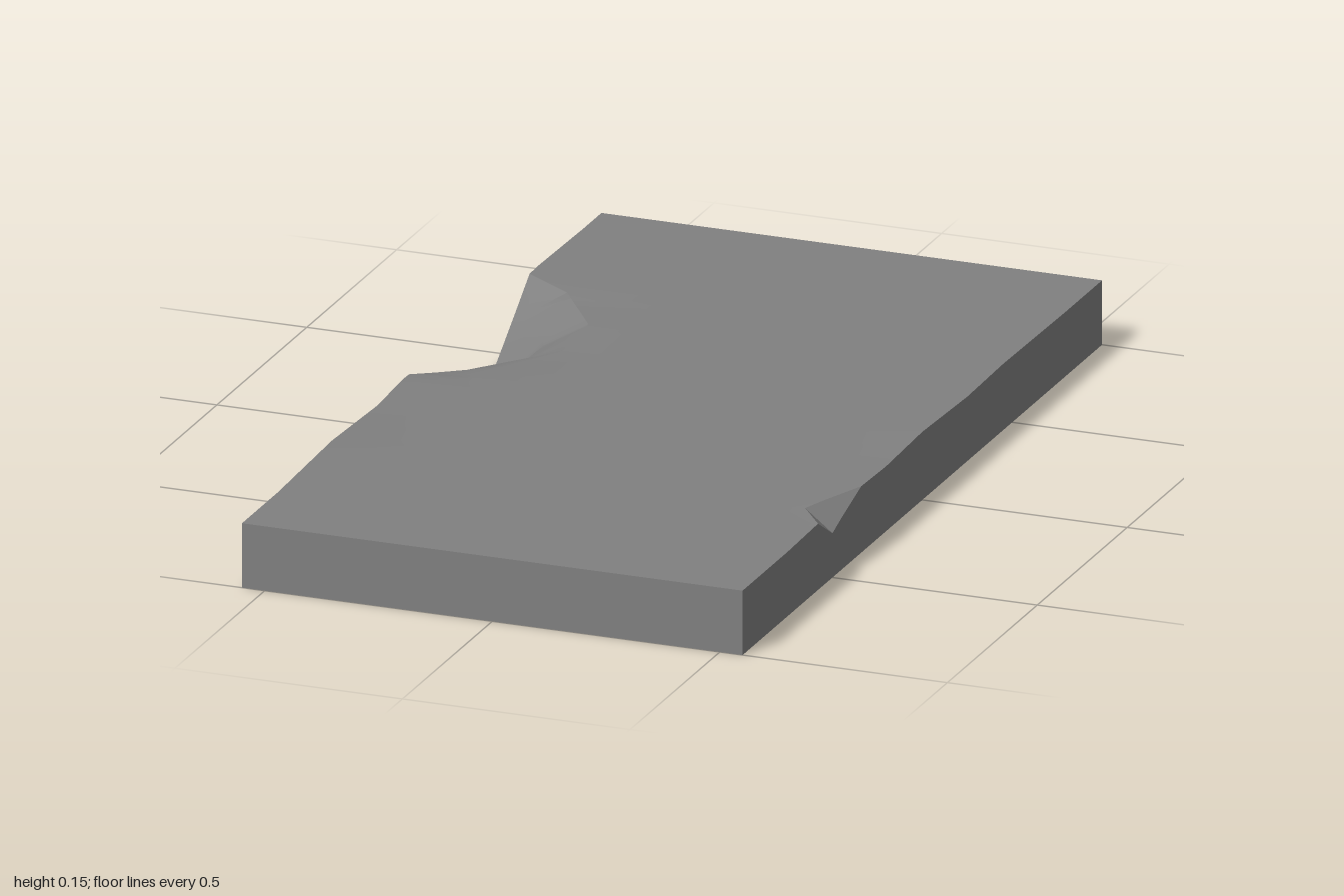
import * as THREE from 'three';
import { toCreasedNormals } from 'three/addons/utils/BufferGeometryUtils.js';

const W = 0.55, TOP = 0.14;

// Piecewise-linear curve through [z, value] points, ascending in z
const line = (pts) => (z) => {
  if (z <= pts[0][0]) return pts[0][1];
  for (let i = 1; i < pts.length; i++) {
    const [z0, v0] = pts[i - 1], [z1, v1] = pts[i];
    if (z <= z1) return v0 + ((v1 - v0) * (z - z0)) / (z1 - z0);
  }
  return pts[pts.length - 1][1];
};

// Large broken notch on the right edge: rim, ledge and foot outlines
const rimX = line([[-0.6, -W], [-0.53, -0.44], [-0.37, -0.33], [-0.2, -0.32], [0.02, -0.45], [0.07, -W]]);
const ledgeX = line([[-0.6, -W], [-0.35, -0.42], [-0.21, -0.42], [0.07, -W]]);
const ledgeH = line([[-0.6, 1], [-0.5, 0.76], [-0.35, 0.64], [-0.21, 0.64], [0.07, 1]]);
const footX = line([[-0.4, -W], [-0.31, -0.48], [-0.25, -0.465], [-0.07, -0.53], [0.04, -W]]);
const lipH = line([[-0.6, 1], [-0.4, 0], [0.04, 0], [0.07, 1]]);

// Small chip on the left edge
const chipX = line([[0.34, W], [0.5, 0.49], [0.58, W]]);
const chipH = line([[0.34, 1], [0.5, 0.66], [0.58, 1]]);

// Slight worn waviness along both long edges
const waveR = line([[-0.9, 0], [-0.65, 0.004], [-0.4, -0.003], [0.1, 0.011], [0.25, 0.002], [0.5, 0.011], [0.8, 0]]);
const waveL = line([[-0.8, 0], [-0.45, 0.004], [-0.25, 0], [0, 0.008], [0.2, 0.001], [0.45, 0.007], [0.75, 0]]);
const height = (x, z) =>
  TOP + THREE.MathUtils.clamp((Math.abs(x) - 0.43) / 0.12, 0, 1) * (x < 0 ? waveR(z) : waveL(z));

// Outline of the slab at one z, clockwise when seen from the front
function section(z) {
  const edgeR = height(-W, z), edgeL = height(W, z);
  const rim = rimX(z), chip = chipX(z);
  const topXs = [rim, Math.max(rim, -0.43), -0.2, 0.2, 0.43, chip];
  return [
    [footX(z), 0],
    [footX(z), lipH(z) * edgeR],
    [ledgeX(z), ledgeH(z) * edgeR],
    ...topXs.map((x) => [x, height(x, z)]),
    [W, chipH(z) * edgeL],
    [W, 0],
  ].map(([x, y]) => [x, y, z]);
}

function slabGeometry() {
  const stations = [-1, -0.9, -0.8, -0.65, -0.6, -0.53, -0.5, -0.45, -0.4, -0.37, -0.35, -0.31, -0.25, -0.21,
    -0.2, -0.07, 0, 0.02, 0.04, 0.07, 0.1, 0.2, 0.25, 0.34, 0.45, 0.5, 0.58, 0.75, 0.8, 1];
  const rings = stations.map(section);
  const n = rings[0].length;
  const position = rings.flat(2);
  const index = [];
  // Skin between neighbouring sections
  for (let s = 0; s < rings.length - 1; s++) {
    for (let j = 0; j < n; j++) {
      const k = (j + 1) % n;
      const a = s * n + j, b = s * n + k, c = a + n, d = b + n;
      index.push(a, c, b, b, c, d);
    }
  }
  // Flat end caps
  const f = (rings.length - 1) * n;
  for (let j = 0; j < n - 2; j++) {
    index.push(n - 1, j, j + 1);
    index.push(f + n - 1, f + j + 1, f + j);
  }
  const geometry = new THREE.BufferGeometry();
  geometry.setAttribute('position', new THREE.Float32BufferAttribute(position, 3));
  geometry.setIndex(index);
  return toCreasedNormals(geometry, 0.5);
}

export function createModel() {
  const group = new THREE.Group();
  group.name = 'brokenStoneSlab';
  const stone = new THREE.MeshStandardMaterial({ color: 0x808080 });
  stone.name = 'grey stone';
  const slab = new THREE.Mesh(slabGeometry(), stone);
  slab.name = 'slab';
  group.add(slab);
  return group;
}
